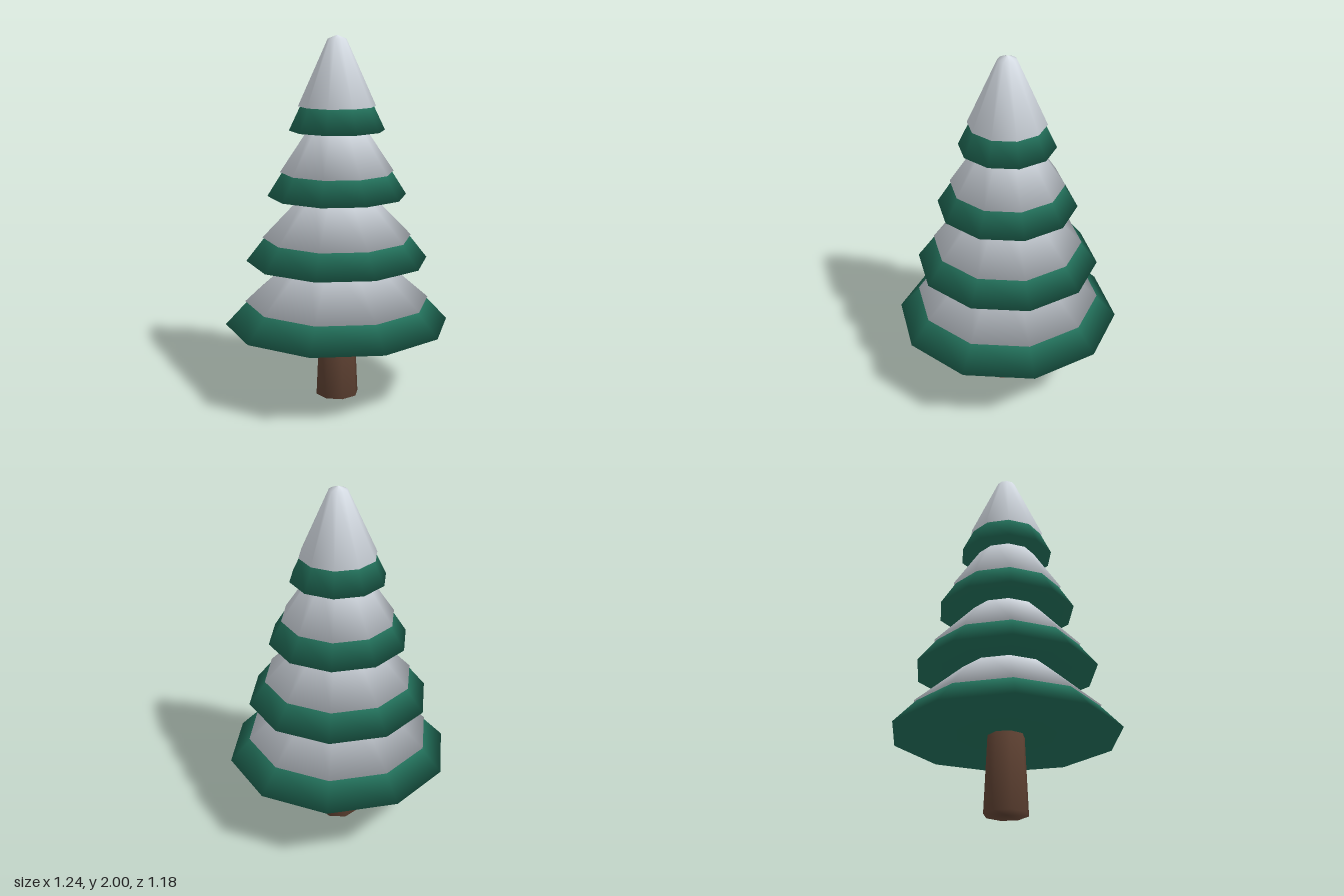
import * as THREE from 'three';

const green = new THREE.MeshStandardMaterial({ color: 0x23725c });
green.name = 'pine green';
const white = new THREE.MeshStandardMaterial({ color: 0xdfe6ee });
white.name = 'snow white';
const brown = new THREE.MeshStandardMaterial({ color: 0x5e4132 });
brown.name = 'bark brown';

// Turned solid with a corner of its polygon on the +x axis
function turned(name, profile, sides, material) {
  const points = profile.map(([r, y]) => new THREE.Vector2(r, y));
  const geometry = new THREE.LatheGeometry(points, sides);
  geometry.rotateY(Math.PI / 2);
  const mesh = new THREE.Mesh(geometry, material);
  mesh.name = name;
  return mesh;
}

// Tiers from the bottom up: rim radius and height, snow rim radius and height,
// then the radius and height where the snow narrows before its point
const tiers = [
  { rim: [0.62, 0.42], snow: [0.51, 0.55], neck: [0.2, 0.82], tip: 0.98 },
  { rim: [0.5, 0.78], snow: [0.41, 0.91], neck: [0.16, 1.17], tip: 1.32 },
  { rim: [0.38, 1.14], snow: [0.31, 1.27], neck: [0.13, 1.54], tip: 1.64 },
  { rim: [0.26, 1.495], snow: [0.21, 1.625], neck: [0.05, 1.98], tip: 2 },
];

export function createModel() {
  const tree = new THREE.Group();
  tree.name = 'snowyPineTree';

  // Tapered eight-sided trunk
  tree.add(turned('trunk', [[0, 0], [0.12, 0], [0.1, 0.43], [0, 0.43]], 8, brown));

  // Each tier is a green cone under a slightly wider cap of snow
  tiers.forEach(({ rim, snow, neck, tip }, i) => {
    const tier = new THREE.Group();
    tier.name = `tier${i + 1}`;
    const inset = 0.012;
    tier.add(turned('branches', [
      [0, rim[1]],
      rim,
      [snow[0] - inset, snow[1]],
      [neck[0] - inset, neck[1] - 0.01],
      [0, tip - 0.02],
    ], 10, green));
    tier.add(turned('snowCap', [
      [0, snow[1]],
      snow,
      neck,
      [0, tip],
    ], 10, white));
    tree.add(tier);
  });

  return tree;
}
